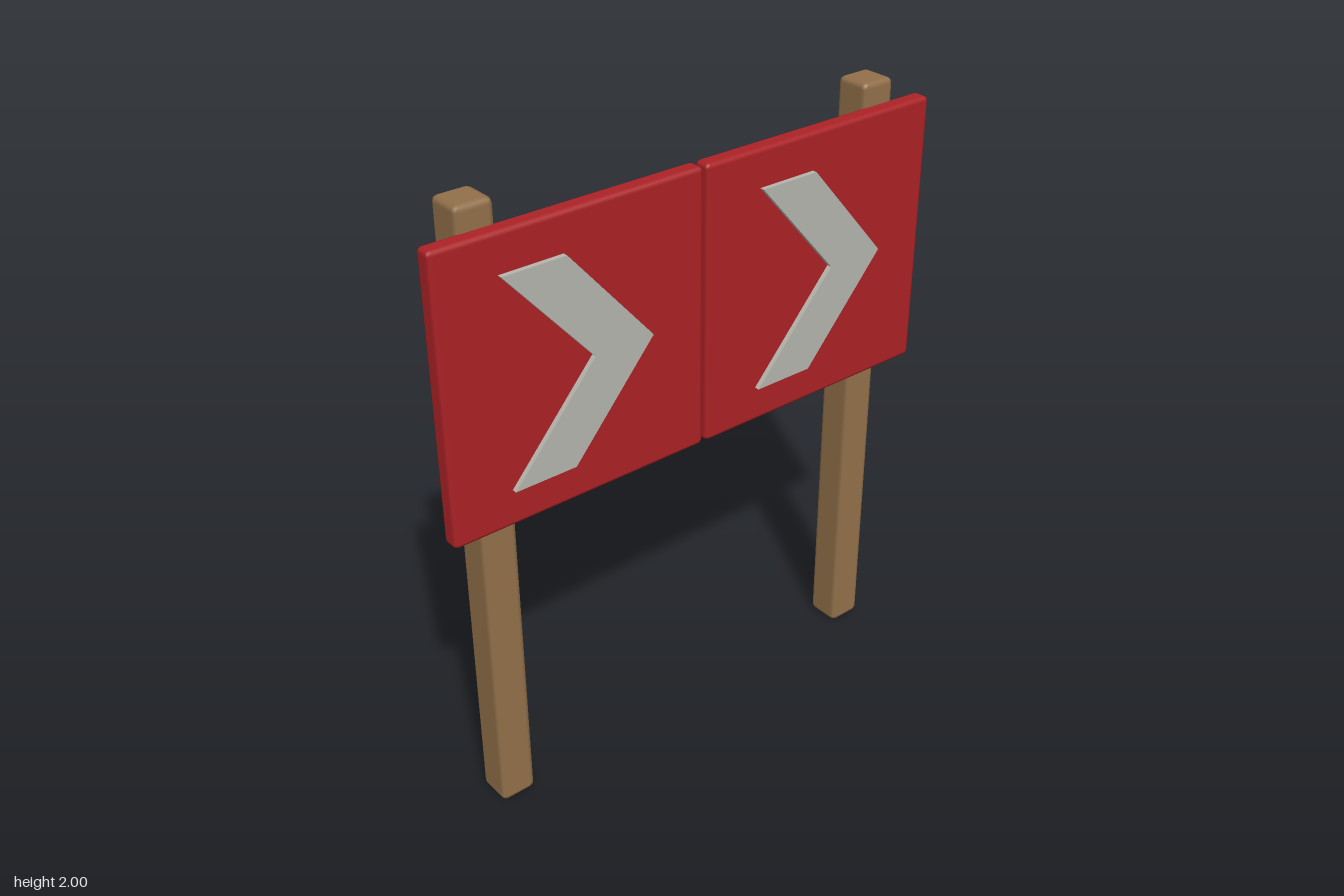
import * as THREE from 'three';
import { RoundedBoxGeometry } from 'three/addons/geometries/RoundedBoxGeometry.js';

const material = (name, color) => {
  const m = new THREE.MeshStandardMaterial({ color });
  m.name = name;
  return m;
};

export function createModel() {
  const model = new THREE.Group();
  model.name = 'chevronSign';

  const wood = material('wood', 0x92704a);
  const red = material('signRed', 0xac2226);
  const grey = material('arrowGrey', 0xb6b6ae);

  const add = (name, geometry, mat, x, y, z) => {
    const mesh = new THREE.Mesh(geometry, mat);
    mesh.name = name;
    mesh.position.set(x, y, z);
    model.add(mesh);
  };

  // One-step bevels with softly blended normals
  const postGeometry = new RoundedBoxGeometry(0.118, 2, 0.118, 1, 0.018);
  const panelGeometry = new RoundedBoxGeometry(0.876, 0.886, 0.058, 1, 0.014);

  // Chevron outline, pointing to +x
  const outline = [[-0.243, 0.325], [-0.038, 0.325], [0.243, 0], [-0.038, -0.325], [-0.243, -0.325], [0.041, 0]];
  const chevron = new THREE.Shape(outline.map(([x, y]) => new THREE.Vector2(x, y)));
  const arrowGeometry = new THREE.ExtrudeGeometry(chevron, { depth: 0.025, bevelEnabled: false });

  for (const [side, s] of [['right', -1], ['left', 1]]) {
    add(side + 'Post', postGeometry, wood, s * 0.711, 1, -0.032);
    add(side + 'Panel', panelGeometry, red, s * 0.444, 1.485, 0.043);
    add(side + 'Arrow', arrowGeometry, grey, s * 0.444, 1.485, 0.063);
  }

  return model;
}
